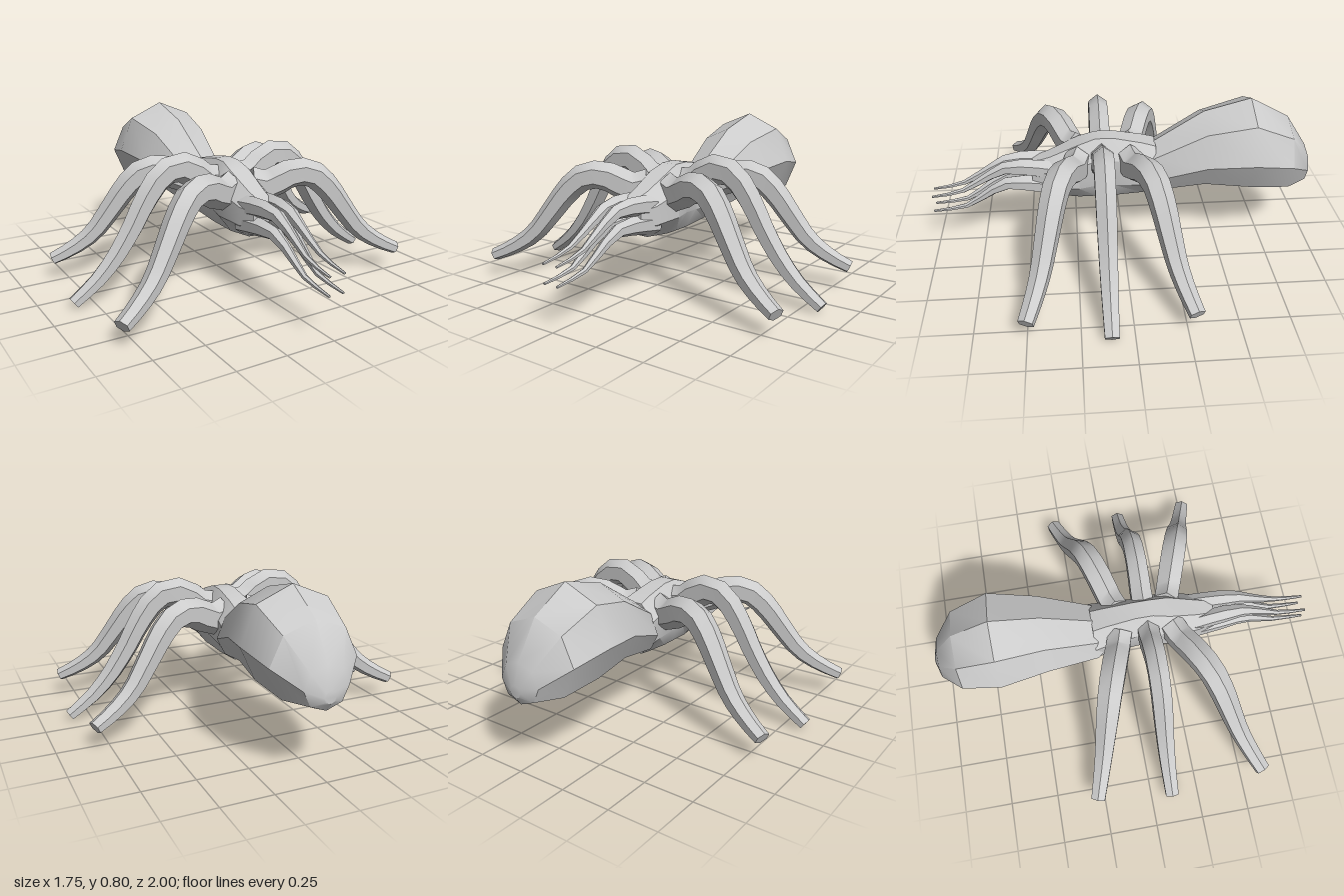
import * as THREE from 'three';
import { toCreasedNormals } from 'three/addons/utils/BufferGeometryUtils.js';

const V = (x, y, z) => new THREE.Vector3(x, y, z);
const material = new THREE.MeshStandardMaterial({ color: 0xcccccc });

// Skin over a list of rings (counter-clockwise about the travel direction), closed at both ends
function loft(name, rings, crease = 0.55) {
  const n = rings[0].length;
  const pos = [];
  const tri = (a, b, c) => [a, b, c].forEach((p) => pos.push(p.x, p.y, p.z));
  for (let i = 0; i < rings.length - 1; i++) {
    for (let j = 0; j < n; j++) {
      const k = (j + 1) % n;
      tri(rings[i][j], rings[i][k], rings[i + 1][k]);
      tri(rings[i][j], rings[i + 1][k], rings[i + 1][j]);
    }
  }
  const first = rings[0], last = rings[rings.length - 1];
  for (let j = 1; j < n - 1; j++) {
    tri(first[0], first[j + 1], first[j]);
    tri(last[0], last[j], last[j + 1]);
  }
  const geometry = new THREE.BufferGeometry();
  geometry.setAttribute('position', new THREE.Float32BufferAttribute(pos, 3));
  const mesh = new THREE.Mesh(toCreasedNormals(geometry, crease), material);
  mesh.name = name;
  return mesh;
}

// Eight-sided body ring: half width, top, side and bottom heights at z
function bodyRing([z, w, top, side, bottom], turn) {
  const k = turn ? 1 / Math.cos(turn) : 1;
  return Array.from({ length: 8 }, (_, i) => {
    const a = (i / 8) * Math.PI * 2 + turn;
    const s = Math.sin(a) * k;
    return V(Math.cos(a) * k * w, side + s * (s > 0 ? top - side : side - bottom), z);
  });
}

// Six-sided limb swept along a smooth path; sizes are [half width, half height]
function limb(name, points, sizes, steps) {
  const curve = new THREE.CatmullRomCurve3(points);
  const rings = [];
  for (let i = 0; i <= steps; i++) {
    const t = i / steps;
    const f = t * (sizes.length - 1);
    const s = Math.min(Math.floor(f), sizes.length - 2);
    const w = THREE.MathUtils.lerp(sizes[s][0], sizes[s + 1][0], f - s) / Math.cos(Math.PI / 6);
    const h = THREE.MathUtils.lerp(sizes[s][1], sizes[s + 1][1], f - s);
    const p = curve.getPointAt(t);
    const tangent = curve.getTangentAt(t);
    const u = V(0, 1, 0).cross(tangent).normalize();
    const v = tangent.clone().cross(u);
    rings.push(Array.from({ length: 6 }, (_, j) => {
      const a = ((j + 0.5) / 6) * Math.PI * 2;
      return p.clone().addScaledVector(u, Math.cos(a) * w).addScaledVector(v, Math.sin(a) * h);
    }));
  }
  return loft(name, rings, 0.8);
}

export function createModel() {
  const model = new THREE.Group();
  model.name = 'insect';

  // Abdomen, ridged along the top
  const abdomen = [
    [-1.0, 0.03, 0.43, 0.4, 0.37],
    [-0.97, 0.11, 0.53, 0.43, 0.33],
    [-0.86, 0.215, 0.7, 0.51, 0.3],
    [-0.66, 0.255, 0.81, 0.55, 0.32],
    [-0.42, 0.205, 0.745, 0.52, 0.345],
    [-0.16, 0.15, 0.58, 0.43, 0.31],
    [-0.1, 0.1, 0.55, 0.43, 0.31],
  ];
  model.add(loft('abdomen', abdomen.map((s) => bodyRing(s, 0))));

  // Thorax and head, flat along the top
  const thorax = [
    [-0.17, 0.13, 0.58, 0.44, 0.31],
    [-0.1, 0.12, 0.6, 0.45, 0.3],
    [0.05, 0.105, 0.63, 0.46, 0.285],
    [0.14, 0.105, 0.63, 0.46, 0.285],
    [0.23, 0.125, 0.6, 0.45, 0.29],
    [0.38, 0.1, 0.53, 0.42, 0.305],
    [0.47, 0.075, 0.5, 0.42, 0.34],
  ];
  model.add(loft('thorax', thorax.map((s) => bodyRing(s, Math.PI / 8))));

  // Legs: side profile as [x, y], leaning from the hip z to the foot z
  const low = [[0.06, 0.52], [0.14, 0.505], [0.22, 0.55], [0.3, 0.572], [0.38, 0.55], [0.46, 0.465],
    [0.54, 0.35], [0.62, 0.245], [0.72, 0.17], [0.82, 0.12]];
  const high = [[0.06, 0.52], [0.14, 0.54], [0.21, 0.6], [0.29, 0.628], [0.37, 0.6], [0.46, 0.495],
    [0.54, 0.36], [0.63, 0.23], [0.73, 0.125], [0.855, 0.035]];
  const thick = [[0.06, 0.09], [0.062, 0.075], [0.055, 0.062], [0.045, 0.05], [0.036, 0.033]];
  const slim = [[0.055, 0.09], [0.05, 0.075], [0.048, 0.06], [0.042, 0.048], [0.034, 0.03]];
  const legs = [
    ['leftFrontLeg', 1, low, thick, 0.23, 0.5],
    ['rightFrontLeg', -1, low, thick, 0.23, 0.605],
    ['leftMiddleLeg', 1, high, slim, 0.11, 0.11],
    ['rightMiddleLeg', -1, high, slim, 0.11, 0.11],
    ['leftRearLeg', 1, low, thick, -0.03, -0.285],
    ['rightRearLeg', -1, low, thick, -0.03, -0.285],
  ];
  for (const [name, side, profile, sizes, hipZ, footZ] of legs) {
    const points = profile.map(([x, y]) =>
      V(side * x, y, THREE.MathUtils.mapLinear(x, 0.06, 0.82, hipZ, footZ)));
    model.add(limb(name, points, sizes, 14));
  }

  // Two pairs of long tapering feelers at the mouth
  const feelerSizes = [[0.04, 0.055], [0.038, 0.045], [0.022, 0.026], [0.012, 0.014], [0.006, 0.006]];
  for (const side of [1, -1]) {
    const label = side > 0 ? 'left' : 'right';
    const upper = [[0.055, 0.46, 0.36], [0.045, 0.48, 0.5], [0.038, 0.475, 0.61], [0.036, 0.41, 0.73],
      [0.04, 0.345, 0.85], [0.04, 0.318, 1]];
    const lower = [[0.06, 0.37, 0.34], [0.05, 0.385, 0.48], [0.045, 0.39, 0.59], [0.038, 0.335, 0.7],
      [0.036, 0.255, 0.82], [0.038, 0.228, 1]];
    const path = (list) => list.map(([x, y, z]) => V(side * x, y, z));
    model.add(limb(label + 'UpperFeeler', path(upper), feelerSizes, 8));
    model.add(limb(label + 'LowerFeeler', path(lower), feelerSizes, 8));
  }
  return model;
}
